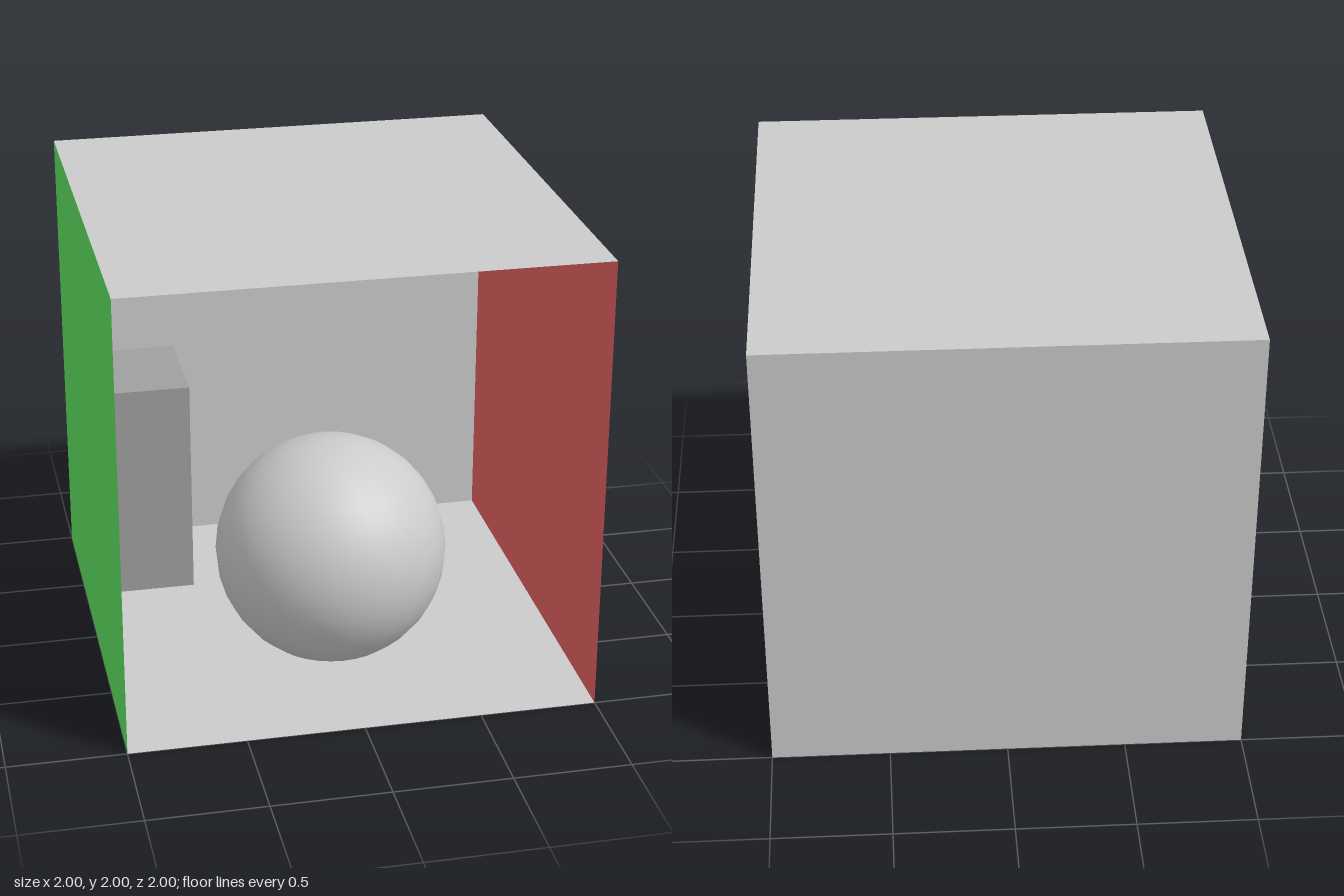
import * as THREE from 'three';

const GREY = 0xcccccc;

export function createModel() {
  const room = new THREE.Group();
  room.name = 'room';

  const add = (name, geometry, color, position, rotation = [0, 0, 0], side = THREE.FrontSide) => {
    const mesh = new THREE.Mesh(geometry, new THREE.MeshStandardMaterial({ color, side }));
    mesh.name = name;
    mesh.position.set(...position);
    mesh.rotation.set(...rotation);
    room.add(mesh);
  };

  // Five thin panels facing inward; the front stays open
  const q = Math.PI / 2;
  const panels = [
    ['floor', GREY, [0, 0, 0], [-q, 0, 0]],
    ['ceiling', GREY, [0, 2, 0], [q, 0, 0]],
    ['backWall', GREY, [0, 1, -1], [0, 0, 0]],
    ['redWall', 0xe66262, [1, 1, 0], [0, -q, 0]],
    ['greenWall', 0x60e660, [-1, 1, 0], [0, q, 0]],
  ];
  for (const [name, color, position, rotation] of panels) {
    add(name, new THREE.PlaneGeometry(2, 2), color, position, rotation, THREE.DoubleSide);
  }

  // Darker block against the green wall, near the back
  add('block', new THREE.BoxGeometry(0.5, 1, 0.5), 0x9f9f9f, [-0.75, 0.5, -0.65]);

  // Smooth ball resting on the floor, toward the front
  add('ball', new THREE.SphereGeometry(0.5, 32, 16), GREY, [0, 0.5, 0.3]);

  return room;
}
